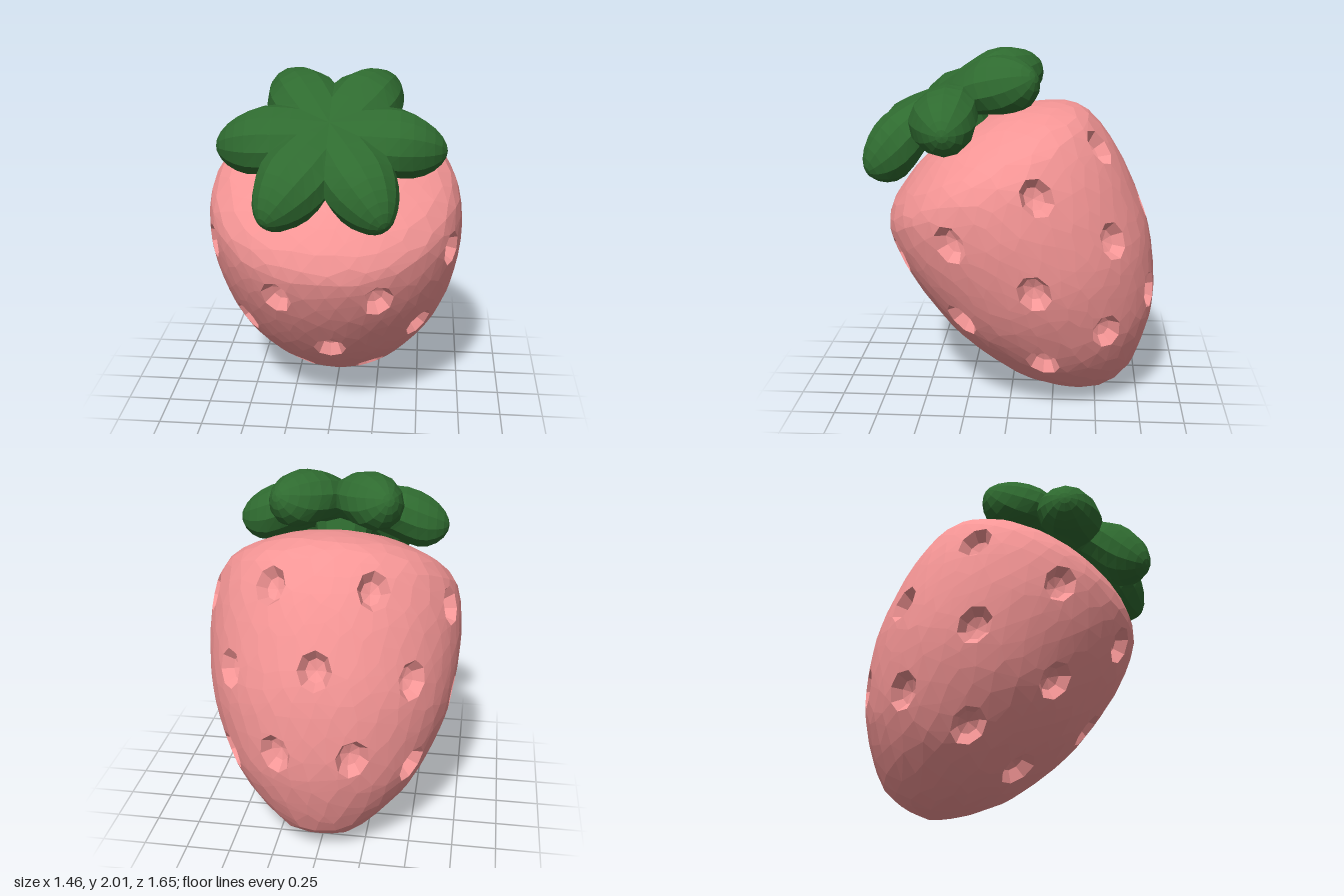
import * as THREE from 'three';
import { ConvexGeometry } from 'three/addons/geometries/ConvexGeometry.js';

const RED = 0xf69696, GREEN = 0x2f6b30;
const V = (x, y, z) => new THREE.Vector3(x, y, z);

function mesh(name, geometry, color) {
  const m = new THREE.Mesh(geometry, new THREE.MeshStandardMaterial({ color, flatShading: true }));
  m.name = name;
  return m;
}

function fromTriangles(points) {
  const g = new THREE.BufferGeometry().setFromPoints(points);
  g.computeVertexNormals();
  return g;
}

// Fruit profile (radius, height) from tip to crown
const profile = new THREE.SplineCurve([
  [0, -0.254], [0.1, -0.243], [0.2, -0.204], [0.38, -0.035], [0.51, 0.15], [0.64, 0.465], [0.69, 0.75],
  [0.7, 1.0], [0.666, 1.22], [0.58, 1.33], [0.48, 1.387], [0.33, 1.45], [0.15, 1.483], [0, 1.49],
].map(([r, y]) => new THREE.Vector2(r, y)));
const LENGTH = profile.getLength();

// Point on the fruit at arc length s from the tip and angle phi from the front;
// the tip curls slightly forward
function surface(s, phi) {
  const p = profile.getPointAt(THREE.MathUtils.clamp(s / LENGTH, 0, 1));
  const curl = 0.007 + 0.035 * Math.max(0, 0.5 - p.y) ** 2;
  return V(p.x * Math.sin(phi) * 1.04, p.y, p.x * Math.cos(phi) + curl);
}

function arcAtHeight(y) {
  let lo = 0, hi = LENGTH;
  for (let i = 0; i < 30; i++) {
    const mid = (lo + hi) / 2;
    if (profile.getPointAt(mid / LENGTH).y < y) lo = mid; else hi = mid;
  }
  return lo;
}

// Three staggered rows of eight seed pits, each with an eight-sided rim
function pitRims() {
  const rims = [];
  [[0.187, 0.5], [0.628, 0], [1.07, 0.5]].forEach(([y, shift]) => {
    const s = arcAtHeight(y), r = profile.getPointAt(s / LENGTH).x;
    for (let k = 0; k < 8; k++) {
      const phi = (k + shift) * Math.PI / 4, rim = [];
      for (let i = 0; i < 8; i++) {
        const a = i * Math.PI / 4;
        rim.push(surface(s + 0.112 * Math.cos(a), phi + 0.09 * Math.sin(a) / r));
      }
      rims.push({ rim, centre: surface(s, phi) });
    }
  });
  return rims;
}

// Faceted skin: hull of scattered points and pit rims, opened at every pit
function skin(pits) {
  let seed = 7;
  const rand = () => (seed = (seed * 16807) % 2147483647) / 2147483647 - 0.5;
  const points = [surface(0, 0), surface(LENGTH, 0)];
  const rows = 30;
  for (let j = 1; j < rows; j++) {
    const s = LENGTH * j / rows, r = profile.getPointAt(j / rows).x;
    const n = Math.max(10, Math.round(2 * Math.PI * r / 0.11));
    for (let i = 0; i < n; i++) {
      const p = surface(s + rand() * 0.05, (i + (j % 2) / 2 + rand() * 0.4) * 2 * Math.PI / n);
      if (pits.every(({ centre }) => centre.distanceTo(p) > 0.135)) points.push(p);
    }
  }
  const key = (p) => [p.x, p.y, p.z].map((c) => Math.round(c * 1e4)).join();
  const owner = new Map();
  pits.forEach(({ rim }, id) => rim.forEach((p) => { points.push(p); owner.set(key(p), id); }));

  const hull = new ConvexGeometry(points).attributes.position;
  const kept = [];
  for (let i = 0; i < hull.count; i += 3) {
    const tri = [0, 1, 2].map((k) => V().fromBufferAttribute(hull, i + k));
    const [a, b, c] = tri.map((p) => owner.get(key(p)));
    if (a === undefined || a !== b || b !== c) kept.push(...tri);
  }
  return fromTriangles(kept);
}

// Sunken cup below a rim
function pitCup({ rim }) {
  const mid = rim.reduce((sum, p) => sum.add(p), V(0, 0, 0)).divideScalar(rim.length);
  const inward = rim[0].clone().sub(mid).cross(rim[2].clone().sub(mid)).normalize();
  const floor = mid.clone().addScaledVector(inward, 0.078);
  const inner = rim.map((p) => p.clone().lerp(mid, 0.4).addScaledVector(inward, 0.06));
  const tris = [];
  rim.forEach((p, i) => {
    const k = (i + 1) % rim.length;
    tris.push(rim[k], p, inner[i], rim[k], inner[i], inner[k], floor, inner[k], inner[i]);
  });
  return fromTriangles(tris);
}

// Plump drooping leaf along +z from elliptical sections:
// [distance out, centre height, half width, half thickness]
function leafGeometry() {
  const sections = [
    [-0.17, 1.65, 0, 0], [-0.13, 1.65, 0.1, 0.09], [-0.02, 1.655, 0.16, 0.118], [0.1, 1.663, 0.175, 0.122],
    [0.2, 1.664, 0.19, 0.13], [0.3, 1.647, 0.202, 0.15], [0.37, 1.63, 0.198, 0.165], [0.44, 1.61, 0.177, 0.165],
    [0.5, 1.596, 0.147, 0.148], [0.55, 1.588, 0.113, 0.118], [0.59, 1.583, 0.073, 0.078], [0.613, 1.581, 0.035, 0.035],
    [0.62, 1.58, 0, 0],
  ];
  const N = 12;
  const at = ([z, y, w, h], i) => {
    const a = i * 2 * Math.PI / N;
    return V(w * Math.cos(a), y + h * Math.sin(a), z);
  };
  const tris = [];
  for (let j = 0; j < sections.length - 1; j++) {
    const A = sections[j], B = sections[j + 1];
    for (let i = 0; i < N; i++) {
      if (A[2] > 0) tris.push(at(A, i), at(A, i + 1), at(B, i));
      if (B[2] > 0) tris.push(at(A, i + 1), at(B, i + 1), at(B, i));
    }
  }
  return fromTriangles(tris);
}

export function createModel() {
  const model = new THREE.Group();
  model.name = 'strawberry';

  // Everything is built upright, then leans forward
  const berry = new THREE.Group();
  berry.name = 'tiltedBerry';
  berry.rotation.x = Math.PI / 6;
  berry.position.set(0, 0.28, -0.478);
  model.add(berry);

  const pits = pitRims();
  berry.add(mesh('fruitSkin', skin(pits), RED));
  pits.forEach((pit, i) => berry.add(mesh(`seedPit${i + 1}`, pitCup(pit), RED)));

  // Leafy crown on a short stem
  const crown = new THREE.Group();
  crown.name = 'crown';
  crown.position.z = 0.017;
  const stem = mesh('stem', new THREE.CylinderGeometry(0.19, 0.15, 0.18, 12), GREEN);
  stem.position.y = 1.53;
  crown.add(stem);
  const leaf = leafGeometry();
  for (let i = 0; i < 6; i++) {
    const m = mesh(`leaf${i + 1}`, leaf, GREEN);
    m.rotation.y = (i + 0.5) * Math.PI / 3;
    crown.add(m);
  }
  berry.add(crown);
  return model;
}
